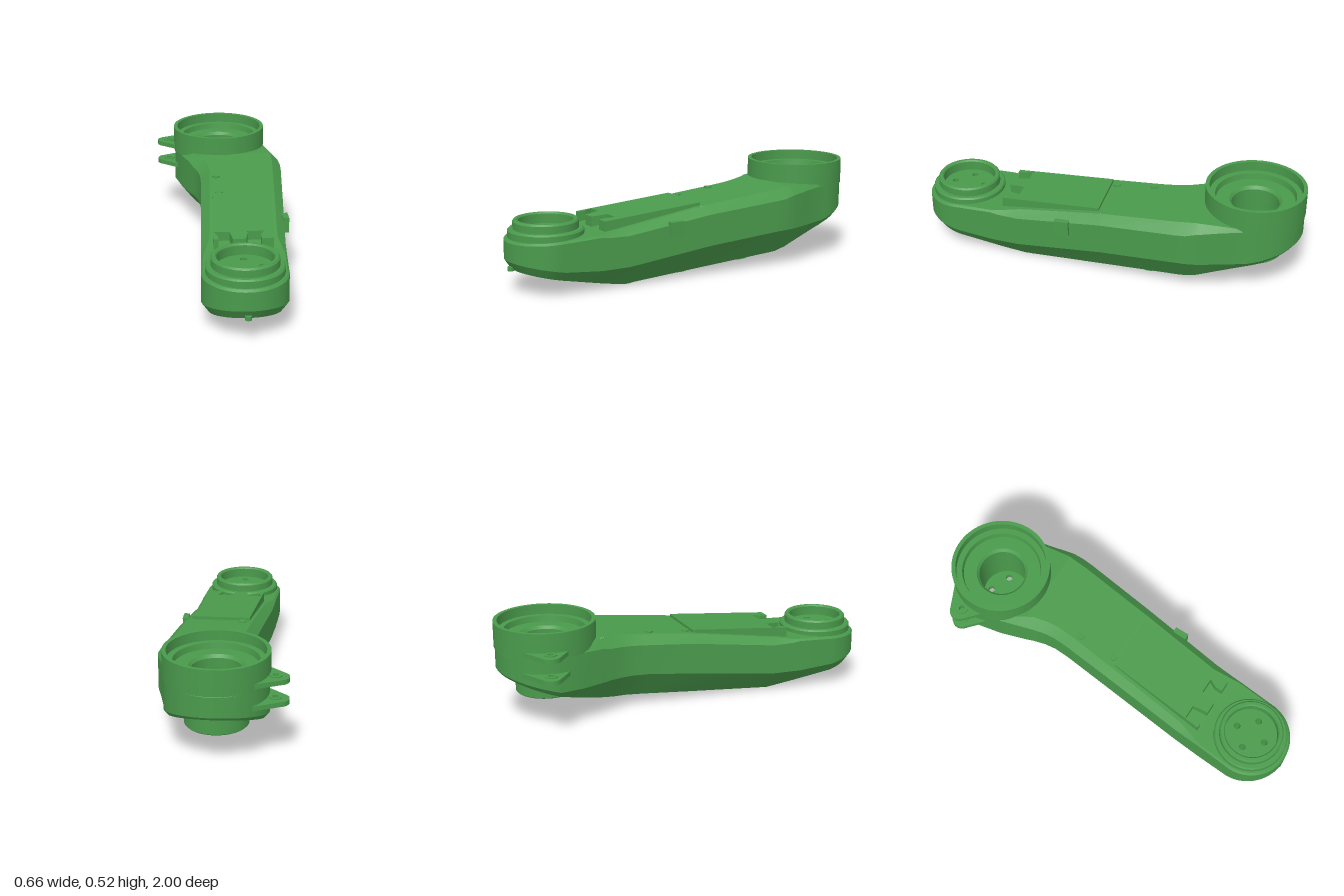
import * as THREE from 'three';
import { toCreasedNormals } from 'three/addons/utils/BufferGeometryUtils.js';

const GREEN = 0x4a9a4c;
const solid = new THREE.MeshStandardMaterial({ color: GREEN });
const open = new THREE.MeshStandardMaterial({ color: GREEN, side: THREE.DoubleSide });

// Piecewise linear lookup; keys run from high z to low z
const table = rows => z => {
  if (z >= rows[0][0]) return rows[0][1];
  for (let i = 1; i < rows.length; i++) {
    const [a, va] = rows[i - 1], [b, vb] = rows[i];
    if (z >= b) return va + (vb - va) * (a - z) / (a - b);
  }
  return rows[rows.length - 1][1];
};
const topY = table([[1, 0.268], [0.56, 0.285], [0, 0.37], [-0.5, 0.42], [-1, 0.385]]);
const bottomY = table([[1, 0.125], [0.45, 0], [-0.45, 0.07], [-1, 0.27]]);
const topDrop = table([[1, 0.01], [0.6, 0.01], [0.45, 0.035], [-0.45, 0.05], [-0.73, 0.01], [-1, 0.005]]);
const topInset = table([[1, 0.01], [0.6, 0.01], [0.45, 0.04], [-0.45, 0.05], [-0.73, 0.005], [-1, 0.005]]);
const bottomRise = table([[1, 0.04], [0.7, 0.05], [0.45, 0.11], [-0.2, 0.14], [-0.45, 0.13], [-0.73, 0.03], [-1, 0.01]]);
const bottomInset = table([[1, 0.03], [0.75, 0.035], [0.45, 0.09], [-0.45, 0.09], [-0.73, 0.025], [-1, 0.01]]);

const FRONT = { x: 0.005, z: 0.79 }, BACK = { x: 0.01, z: -0.745 };

// Plan outline of the link: front arc, left side, back arc, right side
function planOutline() {
  const pts = [];
  const arc = (c, r, a0, a1, n) => {
    for (let i = 0; i <= n; i++) {
      const a = a0 + (a1 - a0) * i / n;
      pts.push([c.x + r * Math.cos(a), c.z + r * Math.sin(a)]);
    }
  };
  arc(FRONT, 0.207, 0, Math.PI, 32);
  pts.push([-0.188, 0.6], [-0.185, 0.56], [-0.177, 0.45], [-0.146, 0], [-0.128, -0.25], [-0.126, -0.33],
    [-0.135, -0.39], [-0.153, -0.45], [-0.172, -0.5], [-0.212, -0.62]);
  arc(BACK, 0.25, Math.PI, Math.PI * 2, 36);
  pts.push([0.29, -0.62], [0.318, -0.52], [0.322, -0.5], [0.328, -0.45], [0.325, -0.39], [0.285, 0],
    [0.24, 0.45], [0.23, 0.56], [0.226, 0.6]);
  return pts;
}

// Part of a plan loop between two z values
function band(loop, zMax, zMin) {
  const clip = (pts, z, s) => pts.flatMap((p, i) => {
    const q = pts[(i + 1) % pts.length], dp = s * (p[1] - z), dq = s * (q[1] - z);
    const out = dp >= 0 ? [p] : [];
    if (dp * dq < 0) out.push([p[0] + (q[0] - p[0]) * dp / (dp - dq), z]);
    return out;
  });
  return clip(clip(loop, zMax, -1), zMin, 1);
}

function circlePath(x, y, r) {
  return new THREE.Path().absarc(x, y, r, 0, Math.PI * 2, true);
}

function createModel() {
  const model = new THREE.Group();
  const add = (name, geo, mat = solid, parent = model) => {
    const mesh = new THREE.Mesh(geo, mat);
    mesh.name = name;
    parent.add(mesh);
    return mesh;
  };
  const creased = geo => toCreasedNormals(geo, 0.45);

  // Side walls with chamfers, swept round the outline
  const outline = planOutline(), n = outline.length;
  const pos = [], idx = [], topLoop = [], bottomLoop = [];
  outline.forEach(([x, z], j) => {
    const a = outline[(j + n - 1) % n], b = outline[(j + 1) % n];
    const len = Math.hypot(b[0] - a[0], b[1] - a[1]);
    const nx = (b[1] - a[1]) / len, nz = -(b[0] - a[0]) / len;
    const t = [x - nx * topInset(z), z - nz * topInset(z)];
    const u = [x - nx * bottomInset(z), z - nz * bottomInset(z)];
    topLoop.push(t);
    bottomLoop.push(u);
    pos.push(t[0], topY(t[1]), t[1], x, topY(z) - topDrop(z), z,
      x, bottomY(z) + bottomRise(z), z, u[0], bottomY(u[1]), u[1]);
    for (let k = 0; k < 3; k++) {
      const A = j * 4 + k, D = ((j + 1) % n) * 4 + k;
      idx.push(A, D, D + 1, A, D + 1, A + 1);
    }
  });
  const walls = new THREE.BufferGeometry();
  walls.setAttribute('position', new THREE.Float32BufferAttribute(pos, 3));
  walls.setIndex(idx);
  add('bodyWalls', creased(walls));

  // Top (s = -1) and bottom (s = 1) skins, with openings for the joints
  const skin = (name, loop, zMax, zMin, s, yAt, c, r) => {
    const shape = new THREE.Shape(band(loop, zMax, zMin).map(([x, z]) => new THREE.Vector2(x, s * z)));
    if (c) shape.holes.push(circlePath(c.x, s * c.z, r));
    const geo = new THREE.ShapeGeometry(shape, 40).rotateX(s * Math.PI / 2);
    const p = geo.attributes.position;
    for (let i = 0; i < p.count; i++) p.setY(i, yAt(p.getZ(i)));
    geo.computeVertexNormals();
    add(name, geo);
  };
  skin('topFront', topLoop, 2, 0.56, -1, topY, FRONT, 0.15);
  skin('topMiddle', topLoop, 0.56, 0, -1, topY);
  skin('topElbow', topLoop, 0, -0.5, -1, topY);
  skin('topRear', topLoop, -0.5, -2, -1, topY, BACK, 0.24);
  skin('undersideFront', bottomLoop, 2, 0.45, 1, bottomY, FRONT, 0.12);
  skin('undersideMiddle', bottomLoop, 0.45, -0.45, 1, bottomY);
  skin('undersideRear', bottomLoop, -0.45, -2, 1, bottomY, BACK, 0.2);

  // Recess walls reaching down to the sloping underside
  const recess = (name, c, r, roof) => {
    const geo = new THREE.CylinderGeometry(r, r, 1, 48, 1, true).translate(c.x, 0, c.z);
    const p = geo.attributes.position;
    for (let i = 0; i < p.count; i++) p.setY(i, p.getY(i) > 0 ? roof : bottomY(p.getZ(i)));
    add(name, geo, open);
  };
  recess('frontRecess', FRONT, 0.12, 0.105);
  recess('rearPocket', BACK, 0.2, 0.28);

  // Turned joint sockets
  const socket = (name, c, profile) => {
    const geo = new THREE.LatheGeometry(profile.map(p => new THREE.Vector2(...p)), 64);
    add(name, creased(geo), open).position.set(c.x, 0, c.z);
  };
  socket('frontCup', FRONT, [[0.119, 0.3], [0.135, 0.3], [0.135, 0.348], [0.141, 0.355], [0.155, 0.355],
    [0.162, 0.346], [0.162, 0.31], [0.181, 0.31], [0.188, 0.302], [0.188, 0.262]]);
  socket('rearSocket', BACK, [[0.2, 0.28], [0.155, 0.28], [0.155, 0.15], [0.15, 0.145], [0.12, 0.145],
    [0.12, 0.18], [0.12, 0.42], [0.133, 0.435], [0.2, 0.435], [0.205, 0.465], [0.235, 0.465],
    [0.235, 0.515], [0.255, 0.515], [0.255, 0.385], [0.238, 0.385]]);

  // Drilled joint floors
  const floor = (name, c, r, y0, y1, turn) => {
    const shape = new THREE.Shape().absarc(0, 0, r, 0, Math.PI * 2);
    for (let i = 0; i < 4; i++) {
      const a = turn + i * Math.PI / 2;
      shape.holes.push(circlePath(0.081 * Math.cos(a), 0.081 * Math.sin(a), 0.017));
    }
    const geo = new THREE.ExtrudeGeometry(shape, { depth: y1 - y0, bevelEnabled: false, curveSegments: 40 });
    add(name, creased(geo.rotateX(-Math.PI / 2))).position.set(c.x, y0, c.z);
  };
  floor('frontFloor', FRONT, 0.12, 0.105, 0.3, 0);
  floor('rearFloor', BACK, 0.121, 0.146, 0.175, 0.42);

  // Raised cover with two notches facing the front cup
  const coverPts = [[-0.085, 0.02], [-0.125, 0.55], [-0.1, 0.55], [-0.1, 0.51], [-0.115, 0.47], [-0.04, 0.47],
    [-0.03, 0.55], [0.035, 0.55], [0.05, 0.47], [0.13, 0.47], [0.11, 0.51], [0.11, 0.55], [0.17, 0.55], [0.215, 0.02]];
  const coverShape = new THREE.Shape(coverPts.map(([x, z]) => new THREE.Vector2(x, -z)));
  const cover = new THREE.ExtrudeGeometry(coverShape, { depth: 1, bevelEnabled: false }).rotateX(-Math.PI / 2);
  const cp = cover.attributes.position;
  for (let i = 0; i < cp.count; i++) {
    const z = cp.getZ(i);
    cp.setY(i, cp.getY(i) > 0.5 ? 0.338 + (0.55 - z) * 0.083 : topY(z) - 0.01);
  }
  cover.computeVertexNormals();
  add('topCover', cover);

  // Pair of hinge ears beside the rear socket
  const ear = new THREE.Shape();
  ear.moveTo(-0.17, 0.92);
  ear.lineTo(-0.305, 0.855);
  ear.absarc(-0.285, 0.81, 0.05, 2.0, 4.0, false);
  ear.lineTo(-0.2, 0.67);
  ear.lineTo(-0.17, 0.67);
  ear.holes.push(circlePath(-0.27, 0.805, 0.015));
  for (const [side, y] of [['upper', 0.394], ['lower', 0.285]]) {
    const geo = new THREE.ExtrudeGeometry(ear, { depth: 0.024, bevelEnabled: false, curveSegments: 16 });
    add(side + 'Ear', creased(geo.rotateX(-Math.PI / 2))).position.y = y;
    const boss = new THREE.Shape().absarc(-0.27, 0.805, 0.03, 0, Math.PI * 2);
    boss.holes.push(circlePath(-0.27, 0.805, 0.015));
    const bossGeo = new THREE.ExtrudeGeometry(boss, { depth: 0.034, bevelEnabled: false, curveSegments: 16 });
    add(side + 'EarBoss', creased(bossGeo.rotateX(-Math.PI / 2))).position.y = y - 0.005;
  }

  // Small fittings: side latch, screw heads, oval pads and nubs
  const latch = add('sideLatch', new THREE.BoxGeometry(0.03, 0.08, 0.075));
  latch.position.set(0.272, 0.275, 0.2);
  for (const z of [-0.21, -0.01]) {
    add('topScrew', new THREE.CylinderGeometry(0.02, 0.02, 0.012, 20)).position.set(-0.05, topY(z) + 0.001, z);
  }
  for (const [x, z] of [[0.01, 0.4], [0.13, 0.4], [0.03, 0.1], [0.16, 0.1], [0.06, -0.25], [0.2, -0.25]]) {
    const pad = add('undersidePad', new THREE.CylinderGeometry(0.02, 0.02, 0.012, 20));
    pad.scale.z = 1.8;
    pad.rotation.x = 0.08;
    pad.position.set(x, bottomY(z) + 0.002, z);
  }
  add('undersideNub', new THREE.BoxGeometry(0.03, 0.03, 0.03)).position.set(0.15, 0.05, -0.18);
  const nub = add('frontNub', new THREE.CylinderGeometry(0.016, 0.016, 0.02, 16));
  nub.position.set(0, 0.126, 0.982);
  return model;
}

export { createModel };
